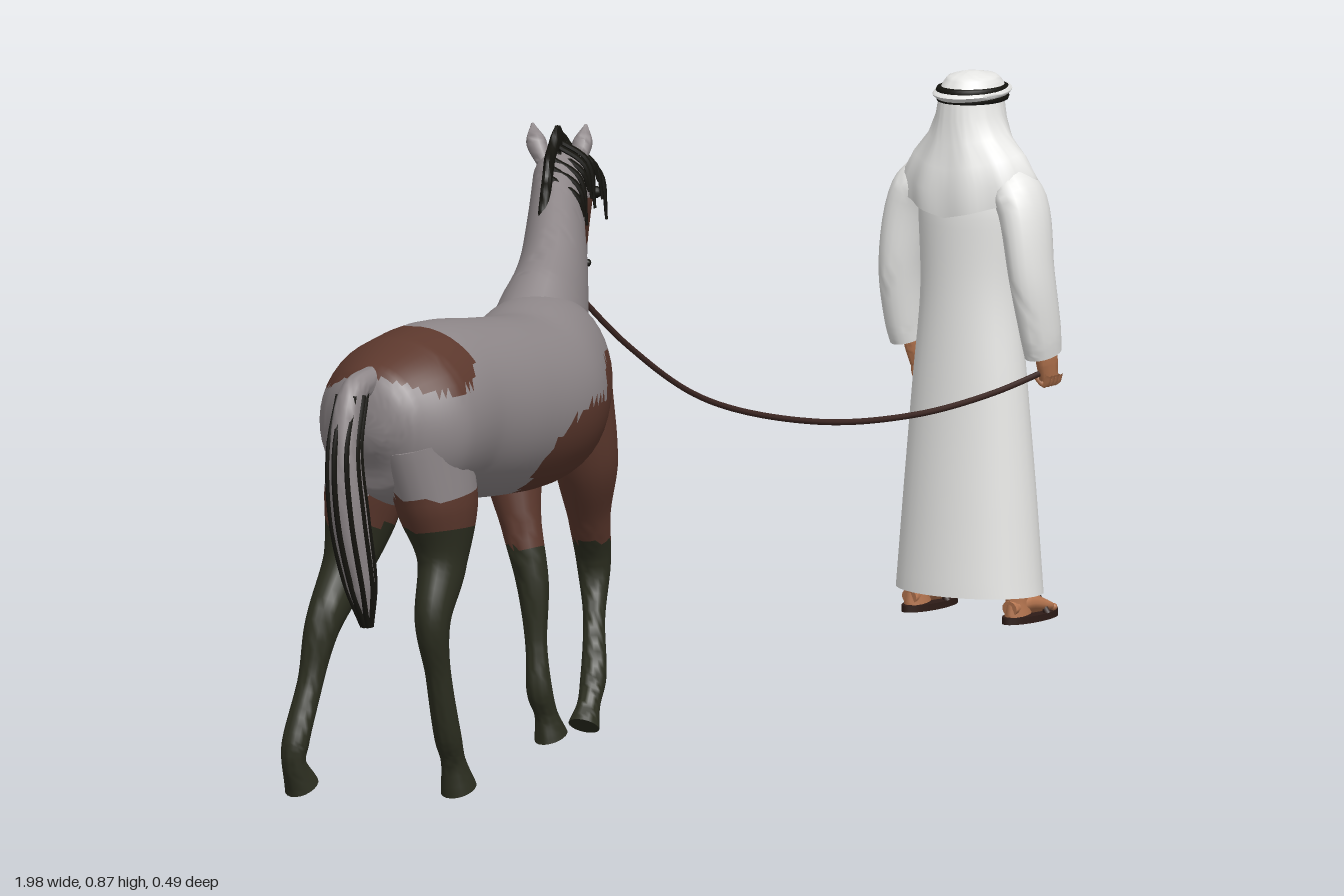
import * as THREE from 'three';
import { toCreasedNormals } from 'three/addons/utils/BufferGeometryUtils.js';

const V = (x, y, z) => new THREE.Vector3(x, y, z);
const mat = (name, color, side = THREE.FrontSide) => {
  const m = new THREE.MeshStandardMaterial({ color, side });
  m.name = name;
  return m;
};

// Smooth surface through rows of points; optional caps and triangle painting
function skin(rows, { closed = true, caps = true, paint = null } = {}) {
  const n = rows[0].length, pts = rows.flat(), tris = [];
  for (let i = 0; i < rows.length - 1; i++) for (let j = 0; j < (closed ? n : n - 1); j++) {
    const a = i * n + j, b = i * n + (j + 1) % n;
    tris.push([a, b, a + n], [b, b + n, a + n]);
  }
  if (caps) for (const r of [0, rows.length - 1]) {
    const c = pts.length;
    pts.push(rows[r].reduce((s, p) => s.add(p), V(0, 0, 0)).divideScalar(n));
    for (let j = 0; j < n; j++) {
      const a = r * n + j, b = r * n + (j + 1) % n;
      tris.push(r === 0 ? [c, b, a] : [c, a, b]);
    }
  }
  const geo = new THREE.BufferGeometry().setFromPoints(pts);
  if (paint) {
    const bins = [[], [], []];
    for (const t of tris) {
      const c = V(0, 0, 0);
      t.forEach(k => c.add(pts[k]));
      c.divideScalar(3);
      bins[paint(c.x, c.y, c.z)].push(...t);
    }
    geo.setIndex(bins.flat());
    let start = 0;
    bins.forEach((b, k) => { geo.addGroup(start, b.length, k); start += b.length; });
  } else geo.setIndex(tris.flat());
  return toCreasedNormals(geo, 1.1);
}

// Elliptic tube: stations are [x, y, z, depth, width], width lies along side
function loft(stations, side, { sides = 20, steps = 6, paint = null } = {}) {
  const path = new THREE.CatmullRomCurve3(stations.map(s => V(s[0], s[1], s[2])));
  const size = new THREE.CatmullRomCurve3(stations.map(s => V(s[3], s[4], 0)));
  const total = (stations.length - 1) * steps, rows = [];
  for (let i = 0; i <= total; i++) {
    const t = i / total, c = path.getPoint(t), r = size.getPoint(t), T = path.getTangent(t);
    const L = side.clone().addScaledVector(T, -T.dot(side)).normalize();
    const N = T.clone().cross(L);
    rows.push(Array.from({ length: sides }, (_, j) => {
      const a = j / sides * Math.PI * 2;
      return c.clone().addScaledVector(L, Math.cos(a) * Math.max(r.y, 0.002))
        .addScaledVector(N, Math.sin(a) * Math.max(r.x, 0.002));
    }));
  }
  return skin(rows, { paint });
}

export function createModel() {
  const grey = mat('grey coat', 0x8d8688), brown = mat('brown coat', 0x5c382d), dark = mat('dark leg', 0x2c2e20);
  const black = mat('black hair', 0x15140f), rope = mat('rope', 0x3b2622), white = mat('white cloth', 0xe8e8e6, THREE.DoubleSide);
  const flesh = mat('skin', 0xb5754f), leather = mat('sandal leather', 0x2e1c17);
  const coat = [grey, brown, dark];
  const model = new THREE.Group(), horse = new THREE.Group(), man = new THREE.Group();
  horse.name = 'horse'; man.name = 'man';
  const add = (parent, name, geo, m, pos) => {
    const mesh = new THREE.Mesh(geo, m);
    mesh.name = name;
    if (pos) mesh.position.set(...pos);
    parent.add(mesh);
    return mesh;
  };

  // Brown patches: ellipsoids [centre, radii]
  const patches = [
    [-0.8, 0.64, 0.09, 0.09, 0.06, 0.16], [-0.57, 0.58, -0.02, 0.11, 0.13, 0.12],
    [-0.33, 0.6, -0.09, 0.07, 0.06, 0.07], [-0.43, 0.46, 0.15, 0.14, 0.085, 0.14],
    [-0.33, 0.52, 0.12, 0.08, 0.07, 0.08], [-0.28, 0.43, 0.02, 0.09, 0.07, 0.11],
    [-0.26, 0.53, 0.06, 0.05, 0.1, 0.05], [-0.17, 0.62, -0.04, 0.04, 0.06, 0.04],
    [-0.05, 0.7, -0.1, 0.07, 0.06, 0.06],
  ];
  const patchy = (x, y, z) => patches.some(p =>
    ((x - p[0]) / p[3]) ** 2 + ((y - p[1]) / p[4]) ** 2 + ((z - p[2]) / p[5]) ** 2 < 1) ? 1 : 0;
  const bodySide = V(0.24, 0, 0.97), neckSide = V(0.55, 0, 0.83), headSide = V(0.48, 0, 0.87);

  // Trunk, neck and head
  add(horse, 'trunk', loft([
    [-0.9, 0.55, 0.115, 0.03, 0.04], [-0.875, 0.553, 0.115, 0.09, 0.085], [-0.8, 0.55, 0.11, 0.125, 0.128],
    [-0.7, 0.553, 0.1, 0.132, 0.124], [-0.58, 0.54, 0.098, 0.132, 0.122], [-0.46, 0.53, 0.08, 0.13, 0.125],
    [-0.36, 0.535, 0.042, 0.138, 0.112], [-0.28, 0.525, 0.01, 0.12, 0.09], [-0.23, 0.52, -0.012, 0.05, 0.045],
  ], bodySide, { sides: 44, steps: 9, paint: patchy }), coat);
  add(horse, 'neck', loft([
    [-0.38, 0.56, 0.04, 0.1, 0.08], [-0.29, 0.61, 0, 0.11, 0.068], [-0.22, 0.67, -0.033, 0.086, 0.052],
    [-0.14, 0.735, -0.085, 0.068, 0.042], [-0.08, 0.785, -0.125, 0.055, 0.037],
  ], neckSide, { sides: 32, steps: 10, paint: patchy }), coat);
  add(horse, 'head', loft([
    [-0.078, 0.815, -0.124, 0.032, 0.026], [-0.055, 0.765, -0.135, 0.065, 0.044], [-0.03, 0.72, -0.15, 0.057, 0.038],
    [-0.002, 0.67, -0.166, 0.041, 0.03], [0.014, 0.64, -0.176, 0.037, 0.028], [0.026, 0.61, -0.183, 0.019, 0.018],
  ], headSide, { sides: 28, steps: 8, paint: (x, y, z) => (y < 0.652 ? 2 : patchy(x, y, z)) }), coat);
  for (const s of [1, -1]) {
    const at = (d, x, y, z) => [x + s * d * headSide.x, y, z + s * d * headSide.z];
    const tip = at(0.04, -0.05, 0.862, -0.145), base = at(0.024, -0.068, 0.81, -0.13);
    add(horse, 'ear', loft([[...base, 0.012, 0.012], [...at(0.034, -0.062, 0.835, -0.136), 0.011, 0.015], [...tip, 0.002, 0.002]],
      headSide, { sides: 10 }), grey);
    add(horse, 'eye', new THREE.SphereGeometry(0.009, 12, 8), black, at(0.037, -0.025, 0.758, -0.142));
    add(horse, 'nostril', new THREE.SphereGeometry(0.006, 8, 6), black, at(0.021, 0.034, 0.64, -0.181));
  }

  // Legs: grey or brown above, dark below
  const legs = {
    nearForeleg: [0.29, 0.6, [
      [-0.31, 0.52, 0.085, 0.07, 0.04], [-0.285, 0.42, 0.075, 0.055, 0.046], [-0.25, 0.33, 0.055, 0.036, 0.031],
      [-0.222, 0.25, 0.043, 0.025, 0.025], [-0.25, 0.17, 0.064, 0.016, 0.016], [-0.285, 0.095, 0.088, 0.02, 0.019],
      [-0.305, 0.062, 0.095, 0.017, 0.017], [-0.325, 0.03, 0.1, 0.025, 0.023]]],
    farForeleg: [0.29, 0.6, [
      [-0.3, 0.52, -0.06, 0.07, 0.035], [-0.315, 0.42, -0.04, 0.052, 0.044], [-0.33, 0.32, -0.01, 0.031, 0.03],
      [-0.332, 0.235, 0.012, 0.024, 0.024], [-0.336, 0.14, 0.022, 0.016, 0.016], [-0.336, 0.075, 0.028, 0.02, 0.019],
      [-0.325, 0.045, 0.03, 0.017, 0.017], [-0.312, 0.006, 0.031, 0.029, 0.024]]],
    nearHindleg: [0.4, 0.45, [
      [-0.8, 0.53, 0.155, 0.09, 0.06], [-0.785, 0.43, 0.17, 0.078, 0.057], [-0.79, 0.35, 0.182, 0.045, 0.036],
      [-0.825, 0.265, 0.19, 0.03, 0.026], [-0.81, 0.18, 0.19, 0.019, 0.019], [-0.785, 0.09, 0.188, 0.021, 0.02],
      [-0.77, 0.055, 0.186, 0.018, 0.018], [-0.752, 0.006, 0.184, 0.031, 0.026]]],
    farHindleg: [0.4, 0.45, [
      [-0.8, 0.53, 0.06, 0.09, 0.06], [-0.805, 0.43, 0.05, 0.078, 0.055], [-0.84, 0.34, 0.047, 0.045, 0.036],
      [-0.9, 0.255, 0.045, 0.03, 0.026], [-0.928, 0.17, 0.042, 0.019, 0.019], [-0.96, 0.09, 0.04, 0.021, 0.02],
      [-0.965, 0.062, 0.04, 0.018, 0.018], [-0.945, 0.022, 0.04, 0.029, 0.025]]],
  };
  for (const [name, [low, high, stations]] of Object.entries(legs)) {
    add(horse, name, loft(stations, bodySide, {
      steps: 7, paint: (x, y) => (y < low ? 2 : y < high ? 1 : 0),
    }), coat);
  }

  // Tail with dark strands
  const tail = [[-0.87, 0.625, 0.115, 0.02, 0.02], [-0.925, 0.61, 0.118, 0.022, 0.02], [-0.95, 0.53, 0.122, 0.025, 0.023],
    [-0.947, 0.43, 0.128, 0.029, 0.026], [-0.928, 0.33, 0.134, 0.023, 0.021], [-0.915, 0.265, 0.137, 0.006, 0.006]];
  add(horse, 'tail', loft(tail, bodySide), grey);
  for (let i = 0; i < 8; i++) {
    const a = i / 8 * Math.PI * 2;
    const curve = new THREE.CatmullRomCurve3(tail.slice(1).map(s => V(s[0] + Math.cos(a) * s[3], s[1], s[2] + Math.sin(a) * s[4])));
    add(horse, 'tailStrand', new THREE.TubeGeometry(curve, 20, 0.0045, 5), black);
  }

  // Mane ridge and locks hanging to one side
  const crest = [[-0.23, 0.745, -0.045], [-0.17, 0.798, -0.08], [-0.115, 0.83, -0.112], [-0.065, 0.842, -0.132], [-0.02, 0.81, -0.142]];
  add(horse, 'maneRidge', loft(crest.map((p, i) => [...p, i % 4 ? 0.013 : 0.004, 0.008]), neckSide, { sides: 10 }), black);
  const crestCurve = new THREE.CatmullRomCurve3(crest.map(p => V(...p)));
  for (let i = 0; i < 9; i++) {
    const p = crestCurve.getPoint(0.3 + i * 0.08), d = 0.06 + 0.02 * (i % 3);
    add(horse, 'maneLock', loft([[p.x, p.y, p.z, 0.006, 0.004], [p.x + 0.022, p.y - 0.03, p.z + 0.038, 0.009, 0.004],
      [p.x + 0.027, p.y - d, p.z + 0.047, 0.002, 0.002]], neckSide, { sides: 6 }), black);
  }

  // Lead rope
  const lead = new THREE.CatmullRomCurve3([V(0.015, 0.61, -0.175), V(0.13, 0.505, -0.15), V(0.275, 0.41, -0.12),
    V(0.49, 0.35, -0.075), V(0.68, 0.337, -0.035), V(0.83, 0.35, -0.005), V(0.955, 0.375, 0.02)]);
  add(model, 'leadRope', new THREE.TubeGeometry(lead, 60, 0.0045, 8), rope);

  // Robe, collar and sleeves
  const across = V(0, 0, 1), mid = -0.1;
  add(man, 'robe', loft([
    [0.91, 0.04, mid, 0.086, 0.119], [0.911, 0.18, mid, 0.077, 0.108], [0.911, 0.34, mid, 0.066, 0.094], [0.912, 0.5, mid, 0.06, 0.08],
    [0.912, 0.6, mid, 0.061, 0.084], [0.91, 0.65, mid, 0.053, 0.078], [0.913, 0.68, mid, 0.038, 0.045], [0.917, 0.7, mid, 0.03, 0.028],
  ], across, { sides: 32 }), white);
  for (const s of [1, -1]) {
    const z = d => mid + s * d;
    add(man, 'sleeve', loft([
      [0.91, 0.665, z(0.06), 0.03, 0.03], [0.908, 0.625, z(0.095), 0.048, 0.033], [0.902, 0.52, z(0.118), 0.042, 0.029],
      [0.918, 0.43, z(0.123), 0.037, 0.026], [0.925, 0.4, z(0.122), 0.033, 0.024],
    ], across), white);
    // Hands: one fist on the rope, one open
    const fist = s > 0;
    add(man, 'palm', loft([[0.925, 0.42, z(0.12), 0.014, 0.012], [0.938, 0.39, z(0.119), 0.021, 0.013], [0.946, 0.362, z(0.117), 0.018, 0.012]],
      across, { sides: 12 }), flesh);
    for (let i = 0; i < 4; i++) {
      const x = 0.932 + i * 0.009;
      const pts = fist ? [V(x, 0.368, z(0.127)), V(x + 0.003, 0.352, z(0.118)), V(x + 0.002, 0.364, z(0.103))]
        : [V(x, 0.372, z(0.117)), V(x + 0.003, 0.348, z(0.118)), V(x + 0.003, 0.325 + 0.005 * Math.abs(i - 1.5), z(0.111))];
      add(man, 'finger', new THREE.TubeGeometry(new THREE.CatmullRomCurve3(pts), 8, 0.0055, 6), flesh);
    }
    add(man, 'thumb', loft([[0.95, 0.395, z(0.113), 0.007, 0.007], [0.962, 0.376, z(0.103), 0.006, 0.006], [0.962, 0.358, z(0.1), 0.003, 0.003]],
      across, { sides: 8 }), flesh);

    // Feet and sandals
    const fz = z(0.091);
    const sole = add(man, 'sandalSole', new THREE.CylinderGeometry(0.5, 0.5, 0.01, 24), leather, [0.935, 0.005, fz]);
    sole.scale.set(0.124, 1, 0.048);
    add(man, 'ankle', loft([[0.9, 0.085, fz, 0.018, 0.015], [0.902, 0.04, fz, 0.019, 0.015], [0.905, 0.012, fz, 0.024, 0.018]], across, { sides: 14 }), flesh);
    add(man, 'foot', loft([[0.884, 0.022, fz, 0.012, 0.013], [0.92, 0.027, fz, 0.017, 0.018], [0.955, 0.02, fz, 0.011, 0.021], [0.976, 0.015, fz, 0.006, 0.019]],
      across, { sides: 14 }), flesh);
    for (let i = 0; i < 5; i++) {
      add(man, 'toe', new THREE.SphereGeometry(i ? 0.0055 : 0.007, 8, 6), flesh, [0.984 - i * 0.003, 0.015, fz - s * (0.016 - i * 0.008)]);
    }
    const strap = new THREE.CatmullRomCurve3([V(0.95, 0.008, fz - 0.022), V(0.948, 0.034, fz), V(0.95, 0.008, fz + 0.022)]);
    add(man, 'sandalStrap', new THREE.TubeGeometry(strap, 14, 0.005, 6), leather);
  }

  // Head and face
  add(man, 'face', loft([
    [0.915, 0.675, mid, 0.026, 0.024], [0.924, 0.698, mid, 0.037, 0.024], [0.924, 0.72, mid, 0.043, 0.031], [0.92, 0.75, mid, 0.046, 0.035],
    [0.916, 0.78, mid, 0.046, 0.037], [0.915, 0.8, mid, 0.03, 0.027],
  ], across, { sides: 24 }), flesh);
  add(man, 'nose', loft([[0.962, 0.757, mid, 0.004, 0.004], [0.968, 0.74, mid, 0.007, 0.006], [0.965, 0.73, mid, 0.005, 0.007]], across, { sides: 10 }), flesh);
  const mouth = add(man, 'mouth', new THREE.SphereGeometry(0.01, 10, 6), leather, [0.963, 0.718, mid]);
  mouth.scale.set(0.35, 0.2, 1);
  for (const s of [1, -1]) {
    const eye = add(man, 'eye', new THREE.SphereGeometry(0.006, 10, 6), black, [0.961, 0.752, mid + s * 0.014]);
    eye.scale.set(0.5, 0.45, 1);
    const brow = add(man, 'brow', new THREE.SphereGeometry(0.008, 10, 6), black, [0.961, 0.761, mid + s * 0.015]);
    brow.scale.set(0.4, 0.2, 1);
  }

  // Headscarf: crown, double cord and draped cloth open at the face
  add(man, 'scarfCrown', loft([[0.917, 0.767, mid, 0.053, 0.044], [0.916, 0.787, mid, 0.053, 0.044], [0.915, 0.803, mid, 0.039, 0.034],
    [0.915, 0.81, mid, 0.008, 0.008]], across, { sides: 28 }), white);
  for (const y of [0.772, 0.783]) {
    const cord = add(man, 'headCord', new THREE.TorusGeometry(1, 0.13, 8, 36).rotateX(Math.PI / 2), black, [0.917, y, mid]);
    cord.scale.set(0.053, 0.05, 0.045);
  }
  const rx = [0.053, 0.056, 0.06, 0.068, 0.074, 0.072], rz = [0.044, 0.05, 0.064, 0.09, 0.108, 0.11], gap = [45, 46, 42, 36, 33, 31];
  const drape = rx.map((_, i) => Array.from({ length: 49 }, (_, j) => {
    const t = i / 5, g = gap[i] * Math.PI / 180, a = g + j / 48 * (2 * Math.PI - 2 * g);
    const off = Math.min(a, 2 * Math.PI - a);
    const hem = off < 1.5 ? THREE.MathUtils.mapLinear(off, 0.54, 1.5, 0.56, 0.64) : THREE.MathUtils.mapLinear(off, 1.5, Math.PI, 0.64, 0.6);
    const fold = 1 + 0.035 * t * Math.cos(off * 9);
    return V(0.914 + Math.cos(a) * rx[i] * fold, 0.778 + (hem - 0.778) * t, mid + Math.sin(a) * rz[i] * fold);
  }));
  add(man, 'scarfDrape', skin(drape, { closed: false, caps: false }), white);

  model.add(horse, man);
  return model;
}
